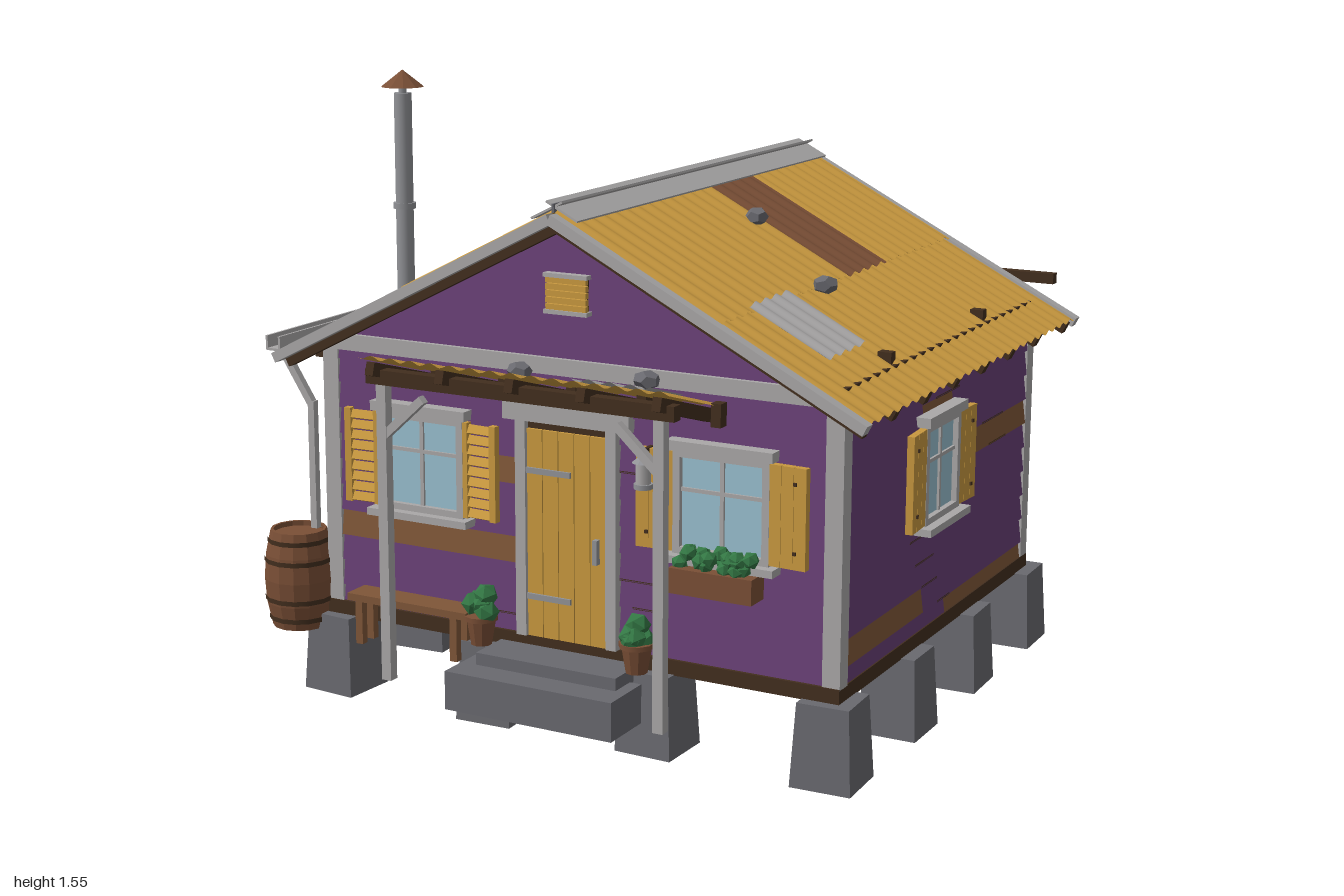
import * as THREE from 'three';

const mat = (name, color, double) => {
  const m = new THREE.MeshStandardMaterial({ color });
  m.name = name;
  if (double) m.side = THREE.DoubleSide;
  return m;
};
const PURPLE = mat('purple paint', 0x673f74), GOLD = mat('yellow ochre', 0xc9993f, true);
const RUST = mat('rust brown', 0x7a4f36, true), WOOD = mat('bare wood', 0x7f5638);
const DARK = mat('dark timber', 0x422e1e), LIGHT = mat('pale grey', 0xaaa8a8, true);
const STONE = mat('stone grey', 0x69696f), STEEL = mat('steel grey', 0x929397);
const GLASS = mat('window glass', 0x99c0d0), GREEN = mat('leaf green', 0x337744);

let seed = 7;
const rnd = () => (seed = (seed * 16807) % 2147483647) / 2147483647;
const V = (x, y, z) => new THREE.Vector3(x, y, z);
const flat = g => { const n = g.index ? g.toNonIndexed() : g; n.computeVertexNormals(); return n; };

function add(parent, name, geo, material, x = 0, y = 0, z = 0) {
  const m = new THREE.Mesh(geo, material);
  m.name = name;
  m.position.set(x, y, z);
  parent.add(m);
  return m;
}
// box given by its minimum and maximum corners
const box = (p, name, m, x0, x1, y0, y1, z0, z1) =>
  add(p, name, new THREE.BoxGeometry(x1 - x0, y1 - y0, z1 - z0), m, (x0 + x1) / 2, (y0 + y1) / 2, (z0 + z1) / 2);
// timber from a to b with width w and height h
function beam(p, name, m, a, b, w, h = w) {
  const o = add(p, name, new THREE.BoxGeometry(w, h, a.distanceTo(b)), m);
  o.position.addVectors(a, b).multiplyScalar(0.5);
  o.lookAt(b);
  return o;
}
function group(p, name, x = 0, y = 0, z = 0, ry = 0) {
  const g = new THREE.Group();
  g.name = name;
  g.position.set(x, y, z);
  g.rotation.y = ry;
  p.add(g);
  return g;
}
// corrugated sheet sloping from (xa,ya) to (xb,yb), waves running along z
function sheet(p, name, m, xa, ya, xb, yb, z0, z1) {
  const [x0, y0, x1, y1] = xa < xb ? [xa, ya, xb, yb] : [xb, yb, xa, ya];
  const g = new THREE.PlaneGeometry(1, 1, 1, Math.max(8, Math.round((z1 - z0) / 0.0068)));
  const pos = g.attributes.position;
  for (let i = 0; i < pos.count; i++) {
    const t = pos.getX(i) + 0.5, z = z0 + (0.5 - pos.getY(i)) * (z1 - z0);
    pos.setXYZ(i, x0 + (x1 - x0) * t, y0 + (y1 - y0) * t + 0.0045 * Math.sin(z * Math.PI * 2 / 0.054), z);
  }
  g.computeVertexNormals();
  return add(p, name, g, m);
}
function rock(p, x, y, z) {
  const r = add(p, 'roofStone', new THREE.DodecahedronGeometry(0.035), STONE, x, y + 0.016, z);
  r.scale.set(0.85, 0.65, 1);
  r.rotation.y = x * 9;
}

const CX = 0.21, ROW = 0.065, SLOPE = 0.51;
const roofY = x => 1.265 - SLOPE * Math.abs(x - CX);

// lapped siding on one wall; patches are [row, from, to] of bare wood
function siding(p, name, half, x, z, ry, patches, gable) {
  const w = group(p, name, x, 0, z, ry);
  for (let r = 0; r < 10; r++) {
    const cuts = [-half, half], own = patches.filter(q => q[0] === r), y = 0.2475 + r * ROW;
    own.forEach(q => cuts.push(q[1], q[2]));
    cuts.sort((a, b) => a - b);
    for (let i = 0; i + 1 < cuts.length; i++) {
      const mid = (cuts[i] + cuts[i + 1]) / 2, len = cuts[i + 1] - cuts[i];
      if (len < 0.003) continue;
      const bare = own.some(q => mid > q[1] && mid < q[2]);
      add(w, 'sidingBoard', new THREE.BoxGeometry(len, ROW + 0.008, 0.012), bare ? WOOD : PURPLE, mid, y, 0.006).rotation.x = -0.13;
    }
    // short open gap between two boards
    const gx = (rnd() - 0.5) * half * 1.5, gl = 0.03 + rnd() * 0.07;
    box(w, 'boardGap', DARK, gx - gl, gx + gl, y - 0.037, y - 0.032, 0.008, 0.0165);
  }
  if (!gable) return;
  for (let y = 0.86; y < 1.22; y += ROW) {
    const a = Math.min(half, (1.25 - y) / SLOPE), b = Math.max(0.01, (1.25 - y - ROW) / SLOPE);
    const s = new THREE.Shape([[-a, -0.006], [a, -0.006], [b, ROW], [-b, ROW]].map(c => new THREE.Vector2(...c)));
    add(w, 'gableBoard', new THREE.ExtrudeGeometry(s, { depth: 0.012, bevelEnabled: false }), PURPLE, 0, y, 0.003).rotation.x = -0.13;
  }
  box(w, 'gableBelt', LIGHT, -half, half, 0.88, 0.92, 0, 0.026);
  const v = group(w, 'gableVent', 0, 1.075, 0.02);
  box(v, 'ventBack', DARK, -0.05, 0.05, -0.04, 0.04, -0.01, 0);
  for (let i = 0; i < 5; i++) box(v, 'ventSlat', GOLD, -0.054, 0.054, -0.039 + i * 0.016, -0.025 + i * 0.016, 0, 0.012);
  for (const y of [-0.043, 0.043]) box(v, 'ventTrim', LIGHT, -0.058, 0.058, y - 0.005, y + 0.005, -0.01, 0.016);
}

// shuttered window facing +z, W is its half width, origin at the glass centre
function windowUnit(p, W, x, y, z, ry, louvered) {
  const w = group(p, 'window', x, y, z, ry), H = 0.124;
  box(w, 'glass', GLASS, -W, W, -H, H, -0.01, 0.008);
  for (const s of [-1, 1]) {
    box(w, 'frameSide', LIGHT, s * W - 0.009, s * W + 0.009, -H, H, -0.01, 0.022);
    box(w, 'frameRail', LIGHT, -W, W, s * 0.115 - 0.009, s * 0.115 + 0.009, -0.01, 0.022);
    const g = group(w, 'shutter', s * (W + 0.055), 0, 0.012, s * -0.06);
    if (louvered) {
      for (const e of [-1, 1]) box(g, 'shutterStile', GOLD, e * 0.041 - 0.009, e * 0.041 + 0.009, -0.118, 0.118, -0.006, 0.012);
      for (let i = 0; i < 9; i++)
        add(g, 'shutterSlat', new THREE.BoxGeometry(0.07, 0.022, 0.005), GOLD, 0, -0.105 + i * 0.026, 0.004).rotation.x = -0.5;
    } else {
      for (const e of [-1, 0, 1]) box(g, 'shutterPlank', GOLD, e * 0.032 - 0.0155, e * 0.032 + 0.0155, -0.118, 0.118, -0.006, 0.012);
      for (const e of [-1, 1]) add(g, 'shutterHook', new THREE.BoxGeometry(0.008, 0.008, 0.004), DARK, s * 0.02, e * 0.08, 0.014);
    }
  }
  box(w, 'muntin', LIGHT, -0.005, 0.005, -H, H, 0, 0.014);
  box(w, 'crossbar', LIGHT, -W, W, 0.025, 0.034, 0, 0.014);
  box(w, 'sill', LIGHT, -W - 0.03, W + 0.03, -0.14, -0.122, -0.01, 0.045);
  box(w, 'lintel', LIGHT, -W - 0.022, W + 0.022, 0.122, 0.146, -0.01, 0.034);
}
function barrel(p, x, y, z, h, r) {
  const g = group(p, 'barrel', x, y, z);
  const pts = [[0, 0], [0.8, 0], [0.95, 0.25], [1, 0.5], [0.95, 0.75], [0.8, 1], [0.72, 1], [0.72, 0.95], [0, 0.95]];
  add(g, 'barrelStaves', flat(new THREE.LatheGeometry(pts.map(q => new THREE.Vector2(q[0] * r, q[1] * h)), 14)), RUST);
  for (const [t, s] of [[0.1, 0.87], [0.3, 0.97], [0.7, 0.97], [0.9, 0.87]])
    add(g, 'barrelHoop', new THREE.CylinderGeometry(r * s + 0.002, r * s + 0.002, 0.012, 14, 1, true), DARK, 0, t * h, 0);
}
function bush(p, x, y, z, r) {
  for (let i = 0; i < 5; i++)
    add(p, 'leaves', new THREE.IcosahedronGeometry(r * 0.62), GREEN, x + (rnd() - 0.5) * r, y + (rnd() - 0.3) * r, z + (rnd() - 0.5) * r).rotation.set(i, i * 2, 0);
}

export function createModel() {
  const root = new THREE.Group();
  root.name = 'cabin';

  // foundation blocks around the edge, and front steps
  const block = flat(new THREE.CylinderGeometry(0.09, 0.105, 0.2, 4, 1).rotateY(Math.PI / 4));
  [-0.465, -0.015, 0.43, 0.88].forEach((x, i) => [0.59, 0.2, -0.185, -0.58].forEach((z, j) => {
    if (i % 3 && j % 3) return;
    add(root, 'foundationBlock', block, STONE, x, 0.1, z).rotation.y = (rnd() - 0.5) * 0.16;
  }));
  box(root, 'lowerStep', STONE, -0.02, 0.43, 0.085, 0.18, 0.67, 0.815);
  box(root, 'upperStep', STONE, 0.02, 0.4, 0.1, 0.21, 0.6, 0.74);

  // floor, wall core and siding
  box(root, 'sillBeam', DARK, -0.49, 0.91, 0.198, 0.235, -0.605, 0.625);
  for (let i = 0; i < 12; i++) box(root, 'floorBoard', RUST, -0.46, 0.88, 0.193, 0.2, -0.575 + i * 0.098, -0.48 + i * 0.098);
  const core = new THREE.Shape([[-0.47, 0.2], [0.89, 0.2], [0.89, 0.91], [CX, 1.25], [-0.47, 0.91]].map(c => new THREE.Vector2(...c)));
  add(root, 'wallCore', new THREE.ExtrudeGeometry(core, { depth: 1.18, bevelEnabled: false }), PURPLE, 0, 0, -0.58);
  siding(root, 'frontWall', 0.68, CX, 0.603, 0, [[3, -0.66, -0.14], [6, -0.2, -0.13]], true);
  siding(root, 'backWall', 0.68, CX, -0.583, Math.PI, [[6, -0.68, 0.1], [0, 0.23, 0.64]], true);
  siding(root, 'rightWall', 0.59, 0.893, 0.01, Math.PI / 2, [[1, -0.58, -0.12], [0, 0.03, 0.57], [6, 0.15, 0.57], [8, -0.14, 0.05]]);
  siding(root, 'leftWall', 0.59, -0.473, 0.01, -Math.PI / 2, []);
  for (const x of [-0.468, 0.888]) {
    for (const z of [0.6, -0.58]) box(root, 'cornerPost', LIGHT, x - 0.022, x + 0.022, 0.232, 0.9, z - 0.022, z + 0.022);
    box(root, 'wallPlate', x < 0 ? PURPLE : DARK, x - 0.012, x + 0.012, 0.84, 0.9205, -0.6, 0.61);
  }

  // main roof sheets, upper row overlapping the lower
  for (const s of [-1, 1]) {
    const roof = group(root, s > 0 ? 'rightRoof' : 'leftRoof');
    const piece = (name, m, d0, d1, lift, z0, z1) =>
      sheet(roof, name, m, CX + s * d0, 1.27 - SLOPE * d0 + lift, CX + s * d1, 1.27 - SLOPE * d1 + lift, z0, z1);
    if (s > 0) {
      piece('upperSheet', GOLD, 0, 0.43, 0.008, 0, 0.685);
      piece('rustySheet', RUST, 0, 0.43, 0.008, -0.24, 0);
      piece('upperSheet', GOLD, 0, 0.43, 0.008, -0.67, -0.24);
      piece('lowerSheet', GOLD, 0.41, 0.785, 0, -0.67, 0.685);
      piece('metalPatch', LIGHT, 0.42, 0.62, 0.016, 0.33, 0.54);
    } else {
      piece('upperSheet', GOLD, 0, 0.43, 0.008, -0.67, 0.685);
      piece('lowerSheet', GOLD, 0.41, 0.785, 0, -0.51, 0.685);
      piece('rustySheet', RUST, 0.41, 0.785, 0.002, -0.67, -0.51);
      piece('metalPatch', LIGHT, 0.28, 0.48, 0.018, -0.05, 0.15);
    }
    const at = (d, dy, z) => V(CX + s * d, 1.27 - SLOPE * d + dy, z);
    for (const z of [0.697, -0.682]) beam(roof, 'bargeBoard', LIGHT, at(0, -0.01, z), at(0.785, -0.01, z), 0.03, 0.025);
    for (const z of [0.665, -0.65]) beam(roof, 'gableRafter', DARK, at(0, -0.03, z), at(0.77, -0.03, z), 0.025, 0.03);
    for (let i = 0; i < 6; i++) beam(roof, 'rafterTail', DARK, at(0.6, -0.034, 0.47 - i * 0.187), at(0.76, -0.034, 0.47 - i * 0.187), 0.028, 0.04);
    for (const z of [-0.29, 0.3]) box(roof, 'tieBeamEnd', DARK, CX + s * 0.66 - 0.017, CX + s * 0.66 + 0.017, 0.9, 0.948, z - 0.013, z + 0.013);
    // crossed ridge boards, each reaching a little past the ridge
    add(roof, 'ridgeFlashing', new THREE.BoxGeometry(0.092, 0.005, 1.36), LIGHT, CX + s * 0.02, 1.276, 0.005).rotation.z = -s * Math.atan(SLOPE);
  }
  box(root, 'ridgeSeam', STONE, CX - 0.003, CX + 0.003, 1.272, 1.293, -0.67, 0.69);
  rock(root, -0.21, roofY(-0.21) + 0.015, -0.44);
  rock(root, 0.41, roofY(0.41) + 0.015, 0.04);
  rock(root, 0.66, roofY(0.66) + 0.015, 0.18);
  beam(root, 'looseBeam', DARK, V(-0.46, 0.935, -0.873), V(0.87, 0.935, -0.873), 0.028);

  // chimney
  add(root, 'chimneyPipe', new THREE.CylinderGeometry(0.022, 0.022, 0.57, 14), STEEL, -0.39, 1.205, 0.4);
  add(root, 'chimneyCollar', new THREE.CylinderGeometry(0.028, 0.028, 0.015, 14), STEEL, -0.39, 1.21, 0.4);
  add(root, 'chimneyStem', new THREE.CylinderGeometry(0.01, 0.01, 0.04, 8), STEEL, -0.39, 1.5, 0.4);
  add(root, 'chimneyCap', flat(new THREE.ConeGeometry(0.054, 0.042, 10)), RUST, -0.39, 1.526, 0.4);

  // gutter and downpipe
  box(root, 'gutterBase', LIGHT, -0.622, -0.582, 0.868, 0.874, -0.655, 0.675);
  for (const x of [-0.622, -0.585]) box(root, 'gutterSide', LIGHT, x - 0.002, x + 0.004, 0.87, 0.905, -0.655, 0.675);
  beam(root, 'gutterOutlet', LIGHT, V(-0.6, 0.87, 0.64), V(-0.515, 0.74, 0.64), 0.018);
  beam(root, 'downpipe', LIGHT, V(-0.512, 0.745, 0.64), V(-0.512, 0.42, 0.64), 0.018);

  // door
  box(root, 'doorBack', DARK, 0.08, 0.335, 0.235, 0.76, 0.6, 0.622);
  for (let i = 0; i < 5; i++) box(root, 'doorPlank', GOLD, 0.1 + i * 0.043, 0.141 + i * 0.043, 0.235, 0.745, 0.615, 0.63);
  for (const x of [0.085, 0.33]) box(root, 'doorJamb', LIGHT, x - 0.014, x + 0.014, 0.235, 0.77, 0.605, 0.638);
  box(root, 'doorLintel', LIGHT, 0.04, 0.38, 0.765, 0.83, 0.605, 0.642);
  for (const y of [0.335, 0.645]) box(root, 'doorHinge', STEEL, 0.1, 0.22, y - 0.007, y + 0.007, 0.63, 0.636);
  box(root, 'doorHandle', STEEL, 0.285, 0.297, 0.44, 0.5, 0.63, 0.645);

  // windows
  windowUnit(root, 0.113, -0.198, 0.622, 0.617, 0, true);
  windowUnit(root, 0.113, 0.615, 0.622, 0.617, 0, false);
  windowUnit(root, 0.1, 0.907, 0.627, 0.07, Math.PI / 2, false);
  box(root, 'flowerBox', RUST, 0.51, 0.72, 0.42, 0.48, 0.625, 0.69);
  for (let i = 0; i < 4; i++) bush(root, 0.54 + i * 0.05, 0.497, 0.658, 0.034);

  // porch roof on two posts
  const porch = group(root, 'porch', 0, 0, 0, -Math.PI / 2);
  const py = z => 0.915 + (z - 0.865) * 0.3;
  const cover = (name, m, z0, z1, x0, x1, lift) => sheet(porch, name, m, z0, py(z0) + lift, z1, py(z1) + lift, -x1, -x0);
  cover('porchSheet', GOLD, 0.62, 0.867, -0.21, 0.61, 0.014);
  cover('porchPatch', LIGHT, 0.64, 0.8, 0.32, 0.52, 0.024);
  for (const x of [-0.17, 0.02, 0.205, 0.39, 0.58]) {
    beam(root, 'porchRafter', DARK, V(x, py(0.63) - 0.012, 0.63), V(x, py(0.88) - 0.012, 0.88), 0.022, 0.032);
    box(root, 'porchBracket', DARK, x + 0.015, x + 0.04, 0.81, 0.865, 0.62, 0.65);
  }
  box(root, 'porchHeader', DARK, -0.2, 0.61, 0.865, 0.9, 0.825, 0.855);
  for (const s of [-1, 1]) {
    const x = 0.205 + s * 0.365;
    beam(root, 'porchPost', LIGHT, V(x, 0.145, 0.84), V(x, 0.865, 0.84), 0.026);
    beam(root, 'porchBrace', LIGHT, V(x, 0.74, 0.84), V(x - s * 0.11, 0.84, 0.84), 0.02);
  }
  rock(root, 0.48, py(0.74) + 0.03, 0.74);
  rock(root, 0.1, py(0.66) + 0.02, 0.66);

  // lean-to on the left side
  const ly = x => 0.82 - (x + 0.81) * 0.32;
  const lean = (name, m, x0, x1, z0, z1, lift) => sheet(root, name, m, x0, ly(x0) + lift, x1, ly(x1) + lift, z0, z1);
  lean('leanToSheet', GOLD, -0.81, -0.5, -0.54, 0.15, 0);
  lean('leanToRustySheet', RUST, -0.81, -0.5, 0.15, 0.235, 0);
  lean('leanToPatch', LIGHT, -0.74, -0.55, -0.21, 0, 0.014);
  for (let i = 0; i < 5; i++) beam(root, 'leanToRafter', DARK, V(-0.82, ly(-0.82) - 0.02, -0.51 + i * 0.18), V(-0.5, ly(-0.5) - 0.02, -0.51 + i * 0.18), 0.022, 0.028);
  beam(root, 'leanToHeader', DARK, V(-0.785, 0.765, -0.54), V(-0.785, 0.765, 0.235), 0.026);
  for (const z of [-0.48, 0.12]) beam(root, 'leanToPost', DARK, V(-0.785, 0.16, z), V(-0.785, 0.77, z), 0.027);
  rock(root, -0.61, ly(-0.61) + 0.02, 0.0);

  // stacked firewood and barrels
  for (let r = 0; r < 3; r++) for (let c = 0; c < 3; c++)
    box(root, 'firewood', RUST, -0.67 + c * 0.058, -0.615 + c * 0.058, 0.165 + r * 0.045, 0.207 + r * 0.045, -0.45 + rnd() * 0.03, -0.1 + rnd() * 0.03);
  barrel(root, -0.57, 0.16, 0.635, 0.25, 0.088);
  barrel(root, -0.635, 0.165, 0.085, 0.23, 0.08);

  // washing line
  const lz = x => -0.14 + (x + 0.99) * 0.75;
  beam(root, 'linePole', WOOD, V(-0.982, 0.1, -0.13), V(-0.988, 0.76, -0.14), 0.022);
  const line = new THREE.QuadraticBezierCurve3(V(-0.985, 0.73, lz(-0.985)), V(-0.74, 0.7, lz(-0.74)), V(-0.49, 0.74, lz(-0.49)));
  add(root, 'washingLine', new THREE.TubeGeometry(line, 12, 0.003, 5), DARK);
  for (const [m, x0, x1, y0] of [[GOLD, -0.985, -0.88, 0.612], [PURPLE, -0.83, -0.735, 0.53], [LIGHT, -0.705, -0.62, 0.58], [GOLD, -0.6, -0.52, 0.65]])
    beam(root, 'hangingCloth', m, V(x0, (y0 + 0.718) / 2, lz(x0)), V(x1, (y0 + 0.718) / 2, lz(x1)), 0.006, 0.718 - y0);

  // bench, potted plants and lantern
  box(root, 'benchSeat', WOOD, -0.375, -0.03, 0.27, 0.288, 0.63, 0.705);
  for (const x of [-0.345, -0.07]) for (const z of [0.643, 0.69]) box(root, 'benchLeg', WOOD, x - 0.01, x + 0.01, 0.16, 0.27, z - 0.01, z + 0.01);
  for (const x of [-0.005, 0.42]) {
    add(root, 'flowerPot', flat(new THREE.CylinderGeometry(0.038, 0.026, 0.07, 10)), RUST, x, 0.245, 0.675);
    add(root, 'potRim', new THREE.CylinderGeometry(0.042, 0.042, 0.012, 10), RUST, x, 0.277, 0.675);
    bush(root, x, 0.3, 0.675, 0.05);
  }
  const lamp = group(root, 'lantern', 0.43, 0.685, 0.662);
  add(lamp, 'lanternBody', new THREE.CylinderGeometry(0.018, 0.018, 0.05, 10), LIGHT);
  add(lamp, 'lanternBase', new THREE.CylinderGeometry(0.023, 0.023, 0.012, 10), STEEL, 0, -0.03, 0);
  add(lamp, 'lanternTop', flat(new THREE.ConeGeometry(0.027, 0.022, 10)), STEEL, 0, 0.036, 0);
  box(lamp, 'lanternBracket', DARK, -0.005, 0.005, 0.045, 0.057, -0.05, 0.01);
  return root;
}
